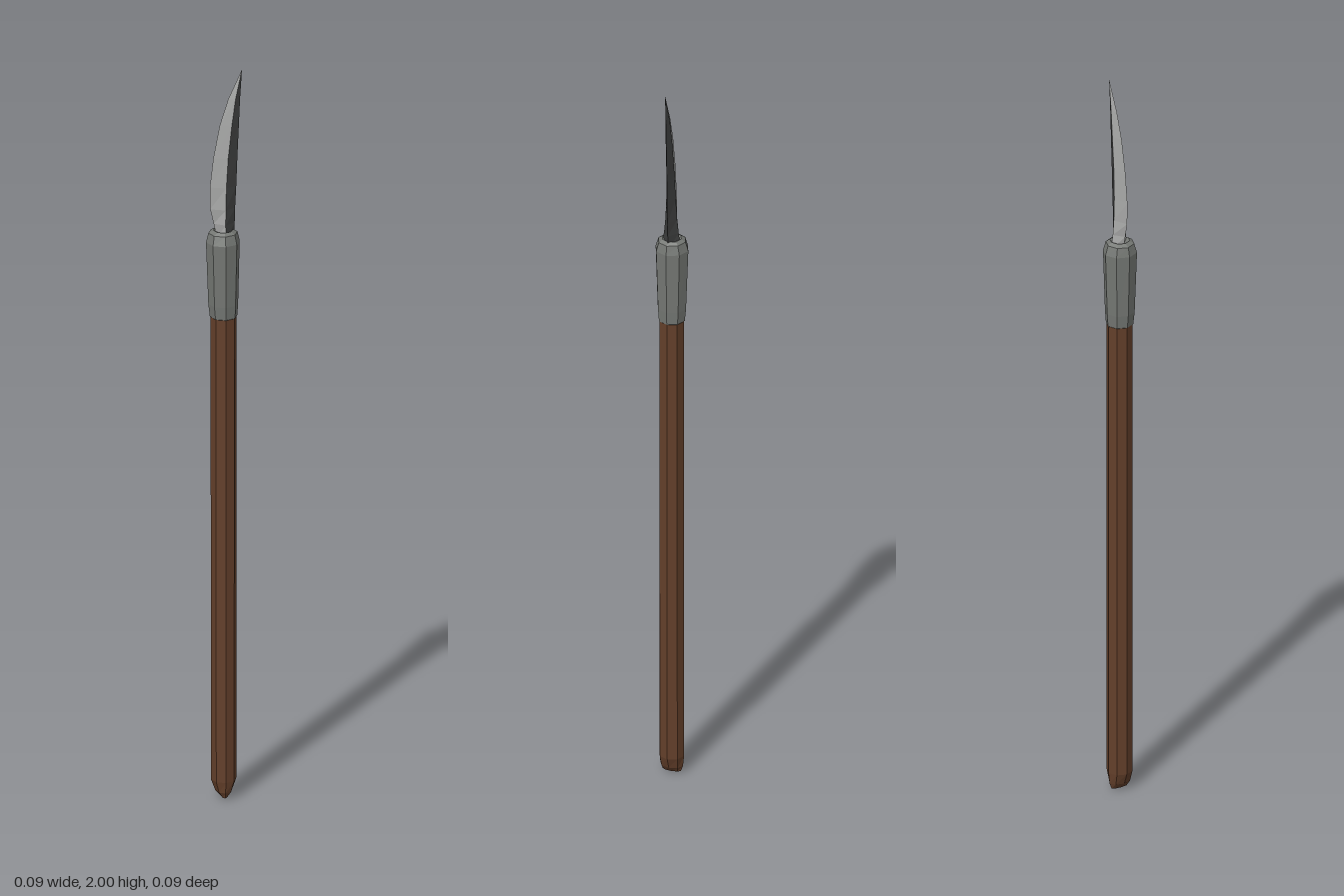
import * as THREE from 'three';

const material = (name, color) => {
  const m = new THREE.MeshStandardMaterial({ color });
  m.name = name;
  return m;
};

// Flat-faced skin between stacked rings of [x, y, z] points
function loft(name, rings, mat) {
  const pos = [];
  for (let i = 0; i < rings.length - 1; i++) {
    const lo = rings[i], hi = rings[i + 1];
    for (let j = 0; j < lo.length - 1; j++) {
      pos.push(...lo[j], ...hi[j], ...lo[j + 1]);
      pos.push(...lo[j + 1], ...hi[j], ...hi[j + 1]);
    }
  }
  const geo = new THREE.BufferGeometry();
  geo.setAttribute('position', new THREE.Float32BufferAttribute(pos, 3));
  geo.computeVertexNormals();
  const mesh = new THREE.Mesh(geo, mat);
  mesh.name = name;
  return mesh;
}

// Closed eight-sided ring
function octagon([y, cx, rx, rz]) {
  return Array.from({ length: 9 }, (_, k) => {
    const a = (k * Math.PI) / 4;
    return [cx + rx * Math.cos(a), y, rz * Math.sin(a)];
  });
}

export function createModel() {
  const wood = material('brown wood', 0x633f2a);
  const iron = material('grey iron', 0x747773);
  const steel = material('light steel', 0xa6a7a6);
  const darkSteel = material('dark steel', 0x3d3e3e);
  const group = new THREE.Group();

  // Shaft with a chisel-shaped butt: [y, centre x, radius x, radius z]
  group.add(loft('shaft', [
    [0, -0.002, 0, 0],
    [0.004, -0.002, 0.008, 0.025],
    [0.02, -0.002, 0.022, 0.031],
    [0.05, -0.002, 0.033, 0.034],
    [1.34, -0.002, 0.034, 0.034],
  ].map(octagon), wood));

  // Collar flaring upwards, with a bevelled rim
  group.add(loft('collar', [
    [1.32, -0.002, 0.03, 0.03],
    [1.325, -0.002, 0.036, 0.036],
    [1.36, -0.003, 0.039, 0.039],
    [1.53, -0.004, 0.044, 0.045],
    [1.555, -0.004, 0.038, 0.037],
    [1.562, -0.003, 0.026, 0.026],
    [1.55, -0.003, 0, 0],
  ].map(octagon), iron));

  // Blade sections: [y, cutting edge x, ridge x, spine x, half thickness]
  const sections = [
    [1.54, -0.02, 0, 0.025, 0.025],
    [1.58, -0.028, 0, 0.027, 0.02],
    [1.62, -0.037, 0.001, 0.028, 0.016],
    [1.68, -0.038, 0.003, 0.031, 0.013],
    [1.76, -0.029, 0.008, 0.034, 0.011],
    [1.85, -0.012, 0.018, 0.038, 0.009],
    [1.92, 0.01, 0.028, 0.041, 0.006],
    [2, 0.046, 0.046, 0.046, 0],
  ];
  group.add(loft('bladeEdge', sections.map(([y, e, r, , t]) =>
    [[r, y, t], [e, y, 0], [r, y, -t]]), steel));
  group.add(loft('bladeSpine', sections.map(([y, , r, s, t]) =>
    [[r, y, -t], [s, y, 0], [r, y, t]]), darkSteel));

  return group;
}
